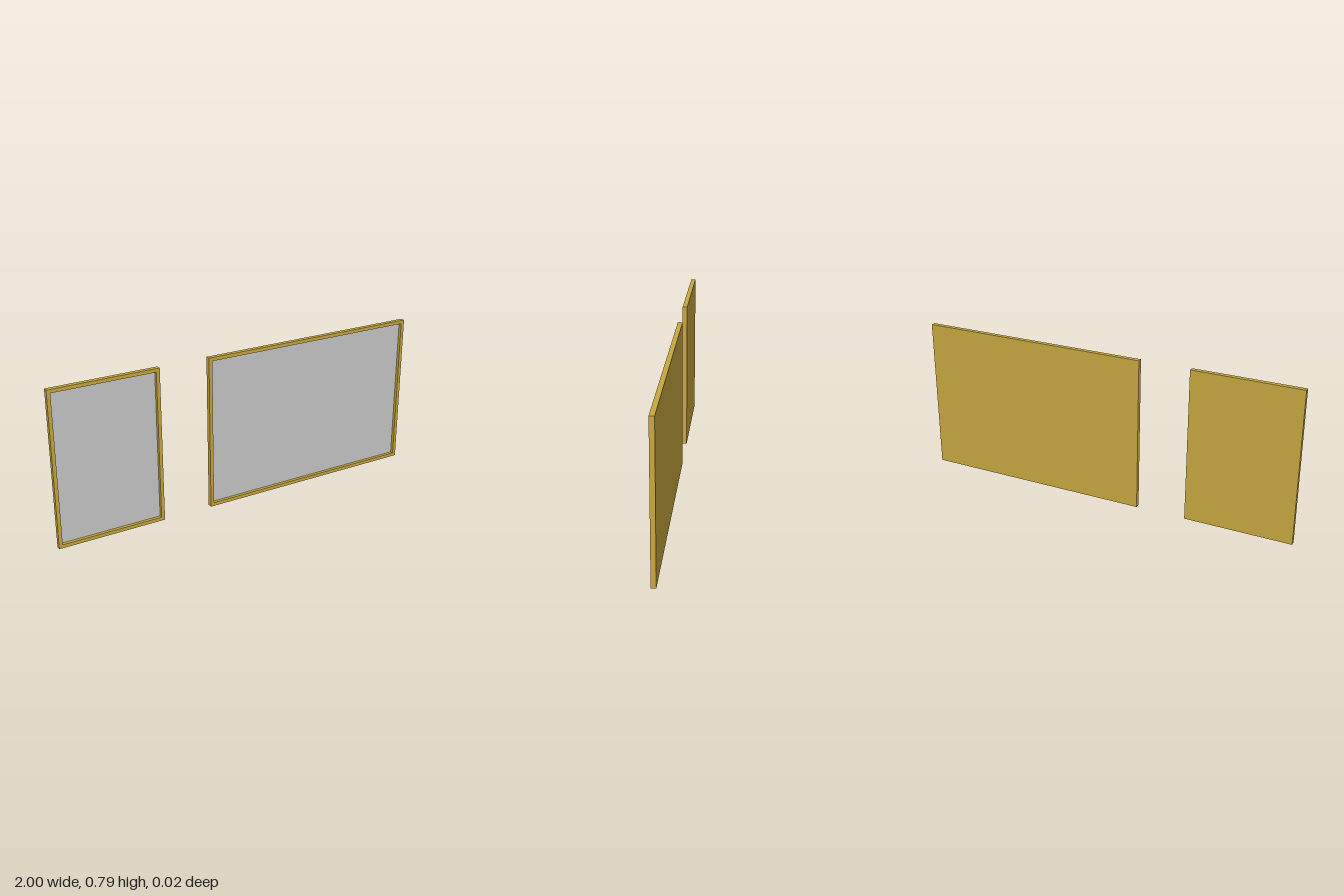
import * as THREE from 'three';

const HEIGHT = 0.79, DEPTH = 0.024, BORDER = 0.018, BACK = 0.006;

// Outline rectangle, used for the frame and its opening
function rectangle(target, w, h) {
  target.moveTo(-w / 2, -h / 2);
  target.lineTo(w / 2, -h / 2);
  target.lineTo(w / 2, h / 2);
  target.lineTo(-w / 2, h / 2);
  target.closePath();
  return target;
}

export function createModel() {
  const gold = new THREE.MeshStandardMaterial({ color: 0xc8a840 });
  gold.name = 'gold';
  const grey = new THREE.MeshStandardMaterial({ color: 0xc8c8c8 });
  grey.name = 'pale grey';

  function framedPanel(name, x0, x1) {
    const group = new THREE.Group();
    group.name = name;
    group.position.set((x0 + x1) / 2, HEIGHT / 2, 0);
    const w = x1 - x0, innerW = w - 2 * BORDER, innerH = HEIGHT - 2 * BORDER;

    // Raised border around the opening
    const shape = rectangle(new THREE.Shape(), w, HEIGHT);
    shape.holes.push(rectangle(new THREE.Path(), innerW, innerH));
    const frame = new THREE.Mesh(
      new THREE.ExtrudeGeometry(shape, { depth: DEPTH, bevelEnabled: false }), gold);
    frame.name = 'frame';
    frame.position.z = -DEPTH / 2;

    // Backing board, flush with the back of the frame
    const backing = new THREE.Mesh(new THREE.BoxGeometry(innerW, innerH, BACK), gold);
    backing.name = 'backing';
    backing.position.z = -DEPTH / 2 + BACK / 2;

    // Recessed front surface
    const pane = new THREE.Mesh(new THREE.PlaneGeometry(innerW, innerH), grey);
    pane.name = 'pane';
    pane.position.z = -DEPTH / 2 + BACK + 0.001;

    group.add(frame, backing, pane);
    return group;
  }

  const model = new THREE.Group();
  model.name = 'framedPanels';
  model.add(framedPanel('narrowPanel', -1, -0.45), framedPanel('widePanel', -0.19, 1));
  return model;
}
